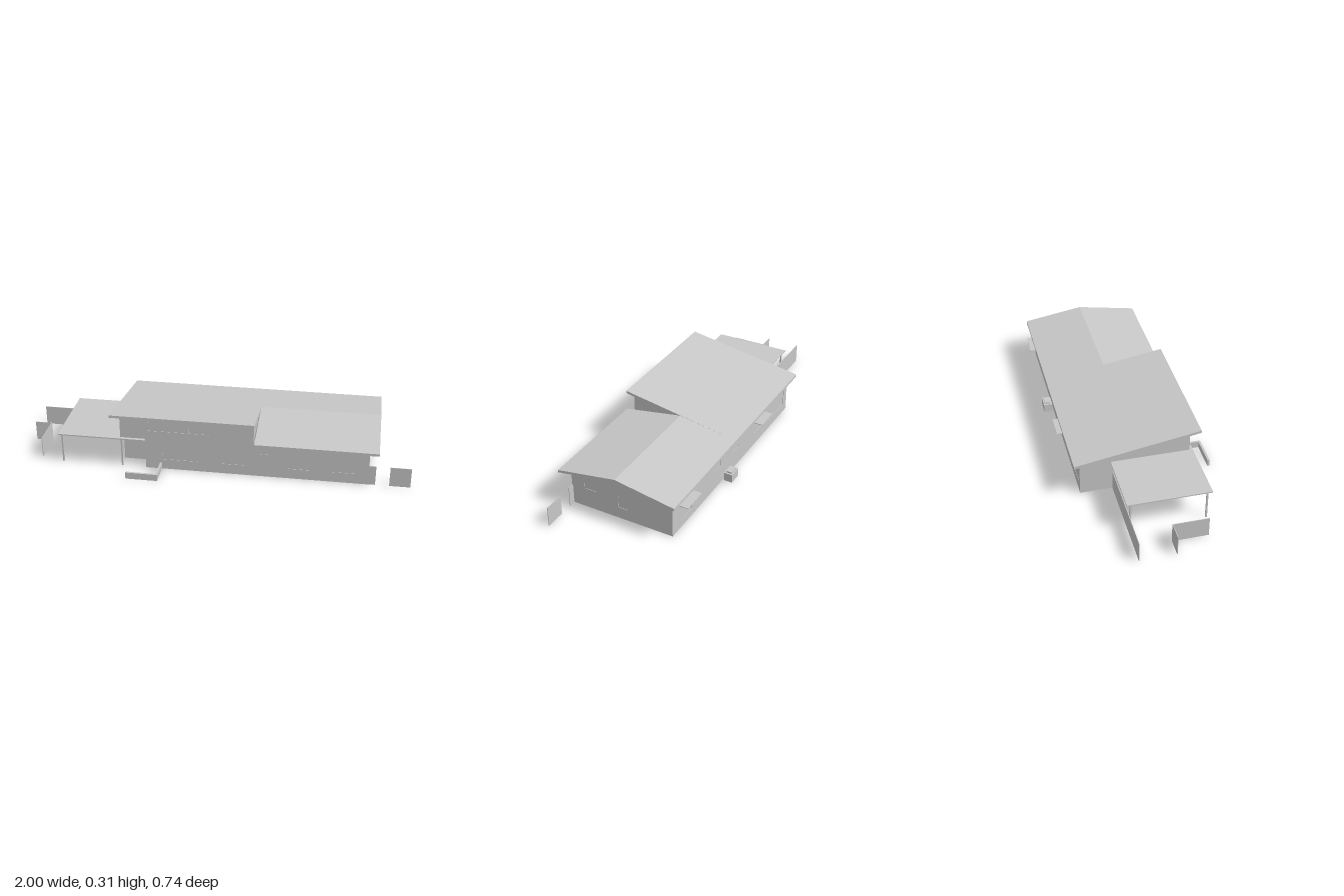
import * as THREE from 'three';

const grey = new THREE.MeshStandardMaterial({ color: 0xc8c8c8, side: THREE.DoubleSide });
grey.name = 'plain grey';

export function createModel() {
  const house = new THREE.Group();
  house.name = 'house';
  const T = 0.008; // wall thickness

  function add(name, geometry) {
    const mesh = new THREE.Mesh(geometry, grey);
    mesh.name = name;
    house.add(mesh);
    return mesh;
  }
  // box given by its minimum and maximum on each axis
  function box(name, x0, x1, y0, y1, z0, z1) {
    const g = new THREE.BoxGeometry(x1 - x0, y1 - y0, z1 - z0);
    g.translate((x0 + x1) / 2, (y0 + y1) / 2, (z0 + z1) / 2);
    return add(name, g);
  }
  // outline with rectangular holes [u0, u1, y0, y1]
  function extrude(points, holes, depth) {
    const shape = new THREE.Shape(points.map(p => new THREE.Vector2(...p)));
    for (const [u0, u1, y0, y1] of holes) {
      shape.holes.push(new THREE.Path([[u0, y0], [u0, y1], [u1, y1], [u1, y0]].map(p => new THREE.Vector2(...p))));
    }
    return new THREE.ExtrudeGeometry(shape, { depth, bevelEnabled: false });
  }
  // wall or prism along x: points are (z, y)
  function alongX(name, points, x0, x1, holes = []) {
    return add(name, extrude(points, holes, x1 - x0).rotateY(-Math.PI / 2).translate(x1, 0, 0));
  }
  // wall facing front or back: points are (x, y)
  function alongZ(name, points, z0, z1, holes = []) {
    return add(name, extrude(points, holes, z1 - z0).translate(0, 0, z0));
  }

  // front wall with its notch for the porch, and windows
  const frontWindows = [
    [-0.26, -0.08, 0.055, 0.14], [0.045, 0.157, 0.055, 0.16], [0.24, 0.29, 0.127, 0.16],
    [0.385, 0.49, 0.055, 0.16], [0.61, 0.725, 0.055, 0.16],
    [-0.335, -0.13, 0.215, 0.268], [-0.125, -0.02, 0.215, 0.268],
  ];
  alongZ('frontWall', [[-0.35, 0], [0.79, 0], [0.79, 0.197], [0.208, 0.197], [0.208, 0.29],
    [-0.48, 0.29], [-0.48, 0.165], [-0.35, 0.165]], 0.24 - T, 0.24, frontWindows);
  for (const [a, b, c, d] of frontWindows) box('frontWindow', a, b, c, d, 0.234, 0.238);

  // back wall and windows
  const backWindows = [
    [0.605, 0.71, 0.04, 0.125], [0.305, 0.38, 0.1, 0.14], [0.11, 0.18, 0.1, 0.14],
    [-0.18, -0.075, 0.07, 0.14], [-0.44, -0.23, 0.05, 0.15],
  ];
  alongZ('backWall', [[-0.48, 0], [0.79, 0], [0.79, 0.198], [-0.48, 0.198]], -0.315, -0.315 + T, backWindows);
  for (const [a, b, c, d] of backWindows) box('backWindow', a, b, c, d, -0.313, -0.309);

  // side walls
  const sideWindows = [[0.1, 0.17, 0.107, 0.143], [-0.077, -0.022, 0.062, 0.125]];
  alongX('leftWall', [[-0.315, 0], [0.24, 0], [0.24, 0.197], [-0.035, 0.244], [-0.315, 0.198]],
    0.79 - T, 0.79, sideWindows);
  for (const [a, b, c, d] of sideWindows) box('sideWindow', 0.784, 0.788, c, d, a, b);
  alongX('rightWall', [[-0.315, 0], [0.16, 0], [0.16, 0.165], [0.24, 0.165], [0.24, 0.29], [-0.315, 0.198]],
    -0.48, -0.48 + T);
  alongX('stepWall', [[-0.035, 0.24], [0.24, 0.19], [0.24, 0.29], [-0.035, 0.244]], 0.2, 0.208);

  // porch recess
  box('porchBackWall', -0.48, -0.35, 0, 0.165, 0.16 - T, 0.16);
  box('porchSideWall', -0.35, -0.35 + T, 0, 0.165, 0.16 - T, 0.24);

  // roof: high slope on the right, ridge and lower slope on the left
  alongX('highRoof', [[-0.35, 0.205], [0.283, 0.31], [0.283, 0.297], [0.24, 0.289], [-0.35, 0.191]], -0.523, 0.215);
  alongX('ridgedRoof', [[-0.35, 0.205], [-0.035, 0.256], [0.283, 0.202], [0.283, 0.189],
    [-0.035, 0.242], [-0.35, 0.191]], 0.215, 0.835);

  // carport
  box('carportRoof', -0.805, -0.48, 0.161, 0.167, -0.16, 0.257);
  box('porchRoof', -0.48, -0.35, 0.161, 0.167, 0.16, 0.257);
  for (const [x, z] of [[-0.79, 0.235], [-0.79, -0.14], [-0.475, 0.235]]) {
    box('post', x - 0.004, x + 0.004, 0, 0.162, z - 0.004, z + 0.004);
  }

  // garden fences and planter
  const F = 0.105;
  box('rearFence', -1, -0.48, 0, F, -0.152, -0.149);
  box('sideFence', -0.913, -0.91, 0, F, 0.03, 0.21);
  box('returnFence', -1, -0.91, 0, F, 0.03, 0.033);
  box('gateFence', 0.79, 0.825, 0, F, 0.235, 0.238);
  box('endFence', 0.895, 1, 0, F, 0.235, 0.238);
  box('planterFront', -0.43, -0.265, 0, 0.035, 0.357, 0.368);
  box('planterSide', -0.275, -0.265, 0, 0.035, 0.24, 0.357);

  // awnings and outdoor unit on the back
  box('awning', -0.18, -0.055, 0.146, 0.149, -0.369, -0.315);
  box('awning', 0.605, 0.74, 0.146, 0.149, -0.369, -0.315);
  box('outdoorUnit', 0.215, 0.285, 0, 0.045, -0.367, -0.322);
  box('outdoorUnitCap', 0.225, 0.275, 0.045, 0.053, -0.36, -0.332);

  // inner walls, seen through the open underside
  const H = 0.19;
  box('corridorWall', -0.1, 0.6, 0, H, -0.07, -0.062);
  box('corridorWall', 0.1, 0.782, 0, H, 0.01, 0.018);
  for (const x of [-0.2, 0.08, 0.22, 0.4, 0.6]) box('rearPartition', x, x + T, 0, H, -0.307, -0.07);
  for (const x of [-0.1, 0.18, 0.34, 0.58]) box('frontPartition', x, x + T, 0, H, 0.018, 0.232);

  // furniture: centre x, centre z, width, depth
  const furniture = [
    [0.72, 0.05, 0.09, 0.05], [0.71, -0.17, 0.1, 0.12], [0.48, -0.23, 0.09, 0.12], [0.32, -0.25, 0.09, 0.08],
    [0.42, 0.09, 0.1, 0.1], [0.7, 0.16, 0.1, 0.1], [0.52, 0.17, 0.07, 0.09], [0.0, -0.12, 0.1, 0.06],
    [-0.03, -0.23, 0.12, 0.08], [-0.31, 0.07, 0.12, 0.08], [-0.32, -0.19, 0.14, 0.09], [-0.17, 0.1, 0.08, 0.1],
  ];
  for (const [x, z, w, d] of furniture) {
    box('furniture', x - w / 2, x + w / 2, 0.02, 0.05, z - d / 2, z + d / 2);
  }
  return house;
}
